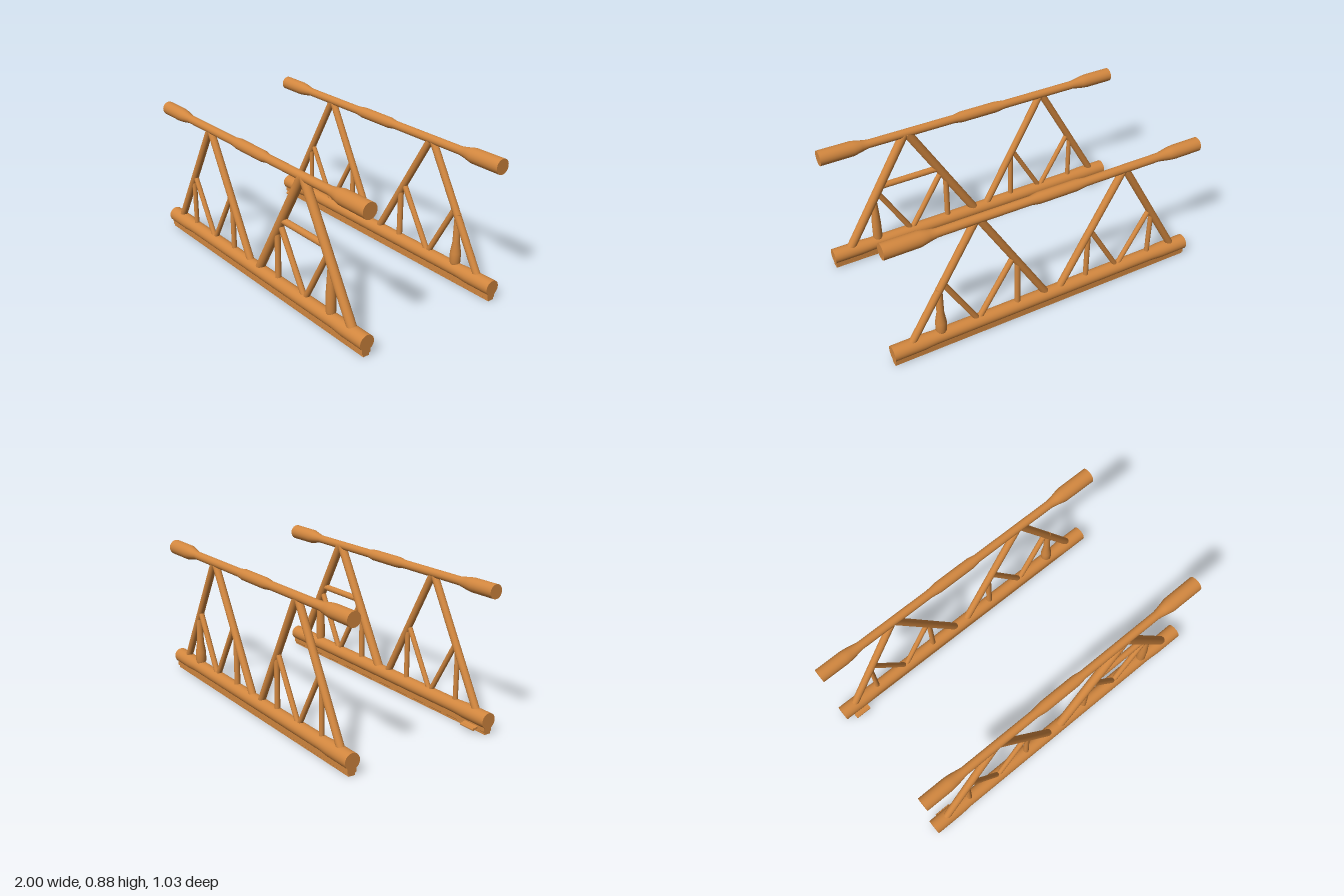
import * as THREE from 'three';

const copper = new THREE.MeshStandardMaterial({ color: 0xd2873f });
copper.name = 'copper';

const SIDES = 32;

function add(group, name, geometry) {
  const mesh = new THREE.Mesh(geometry, copper);
  mesh.name = name;
  group.add(mesh);
  return mesh;
}

// Round strut between two points in the truss plane
function strut(group, name, [x1, y1], [x2, y2], r) {
  const a = new THREE.Vector3(x1, y1, 0);
  const b = new THREE.Vector3(x2, y2, 0);
  const mesh = add(group, name, new THREE.CylinderGeometry(r, r, a.distanceTo(b), 24));
  mesh.position.copy(a).add(b).multiplyScalar(0.5);
  mesh.quaternion.setFromUnitVectors(new THREE.Vector3(0, 1, 0), b.sub(a).normalize());
}

// Turned profile of [radius, position along the axis] with closed ends
function turned(profile) {
  const first = profile[0], last = profile[profile.length - 1];
  const pts = [[0, first[1]], first, first, ...profile.slice(1), last, [0, last[1]]];
  return new THREE.LatheGeometry(pts.map(([r, t]) => new THREE.Vector2(r, t)), SIDES);
}

function chord(group, name, y, profile) {
  const mesh = add(group, name, turned(profile));
  mesh.rotation.z = -Math.PI / 2;
  mesh.position.y = y;
}

// One side truss; side = 1 at the front, -1 at the back
function truss(side) {
  const g = new THREE.Group();
  const front = side > 0;
  g.name = front ? 'frontTruss' : 'backTruss';
  g.position.z = side * 0.468;

  // Stepped top and bottom tubes
  chord(g, 'topChord', 0.83, [
    [0.042, -1], [0.042, -0.83], [0.038, -0.79], [0.026, -0.72], [0.026, -0.22],
    [0.034, -0.16], [0.034, 0.08], [0.026, 0.13], [0.026, 0.69], [0.034, 0.735],
    [0.046, 0.79], [0.047, 1]]);
  chord(g, 'bottomChord', 0.082, [
    [0.047, -1], [0.047, -0.82], [0.042, -0.74], [0.042, 0.74], [0.047, 0.82], [0.047, 1]]);

  // Main triangles
  const r = front ? 0.028 : 0.0225;
  strut(g, 'leftMainLeg', [-0.91, 0.09], [-0.49, 0.83], 0.0225);
  strut(g, 'leftMainLeg', [-0.075, 0.09], [-0.485, 0.83], 0.0225);
  strut(g, 'rightMainLeg', [0.005, 0.09], [0.445, 0.83], r);
  strut(g, 'rightMainLeg', [0.89, 0.09], [0.46, 0.83], r);

  // Inner posts and braces
  strut(g, 'post', [-0.72, 0.09], [-0.72, 0.44], 0.015);
  strut(g, 'post', [-0.268, 0.09], [-0.268, 0.44], 0.016);
  strut(g, 'post', [0.205, 0.09], [0.205, 0.44], 0.018);
  strut(g, 'brace', [-0.705, 0.46], [-0.49, 0.09], 0.0155);
  strut(g, 'brace', [-0.28, 0.46], [-0.495, 0.09], 0.0155);
  strut(g, 'brace', [0.235, 0.47], [0.465, 0.09], 0.0175);
  strut(g, 'brace', [0.675, 0.47], [0.46, 0.09], 0.0175);
  if (front) strut(g, 'crossBar', [0.255, 0.503], [0.66, 0.503], 0.02);

  // Thick tapered post
  const post = add(g, 'thickPost', turned(front
    ? [[0.022, 0.105], [0.03, 0.13], [0.029, 0.235], [0.019, 0.4], [0.019, 0.44]]
    : [[0.022, 0.105], [0.033, 0.13], [0.033, 0.19], [0.022, 0.26], [0.019, 0.44]]));
  post.position.x = 0.697;

  // Stepped rail under the bottom tube
  const rail = new THREE.Shape();
  const half = [[0.02, 0], [0.02, 0.012], [0.028, 0.018], [0.028, 0.06]];
  const outline = [...half, ...half.map(([x, y]) => [-x, y]).reverse()];
  rail.setFromPoints(outline.map(([x, y]) => new THREE.Vector2(x, y)));
  const railMesh = add(g, 'rail',
    new THREE.ExtrudeGeometry(rail, { depth: 1.99, bevelEnabled: false }));
  railMesh.rotation.y = Math.PI / 2;
  railMesh.position.x = -0.995;

  // Small teeth along both rail edges
  const tooth = new THREE.BoxGeometry(0.011, 0.007, 0.046);
  const teeth = new THREE.InstancedMesh(tooth, copper, 0);
  teeth.clear();
  for (let i = 0; i < 64; i++) {
    const m = add(g, 'railTooth', tooth);
    m.position.set(-0.945 + i * 0.03, 0.009, 0);
  }

  // Tilted latch plate on the inner side
  const latch = new THREE.Group();
  latch.name = 'latch';
  add(latch, 'latchPlate', new THREE.BoxGeometry(0.105, 0.012, 0.042));
  const lip = add(latch, 'latchLip', new THREE.CylinderGeometry(0.008, 0.008, 0.105, 12));
  lip.rotation.z = Math.PI / 2;
  lip.position.z = -side * 0.021;
  latch.position.set(-0.892, 0.028, -side * 0.037);
  latch.rotation.x = -side * 0.25;
  g.add(latch);

  return g;
}

export function createModel() {
  const model = new THREE.Group();
  model.name = 'trussPair';
  model.add(truss(1), truss(-1));
  return model;
}
